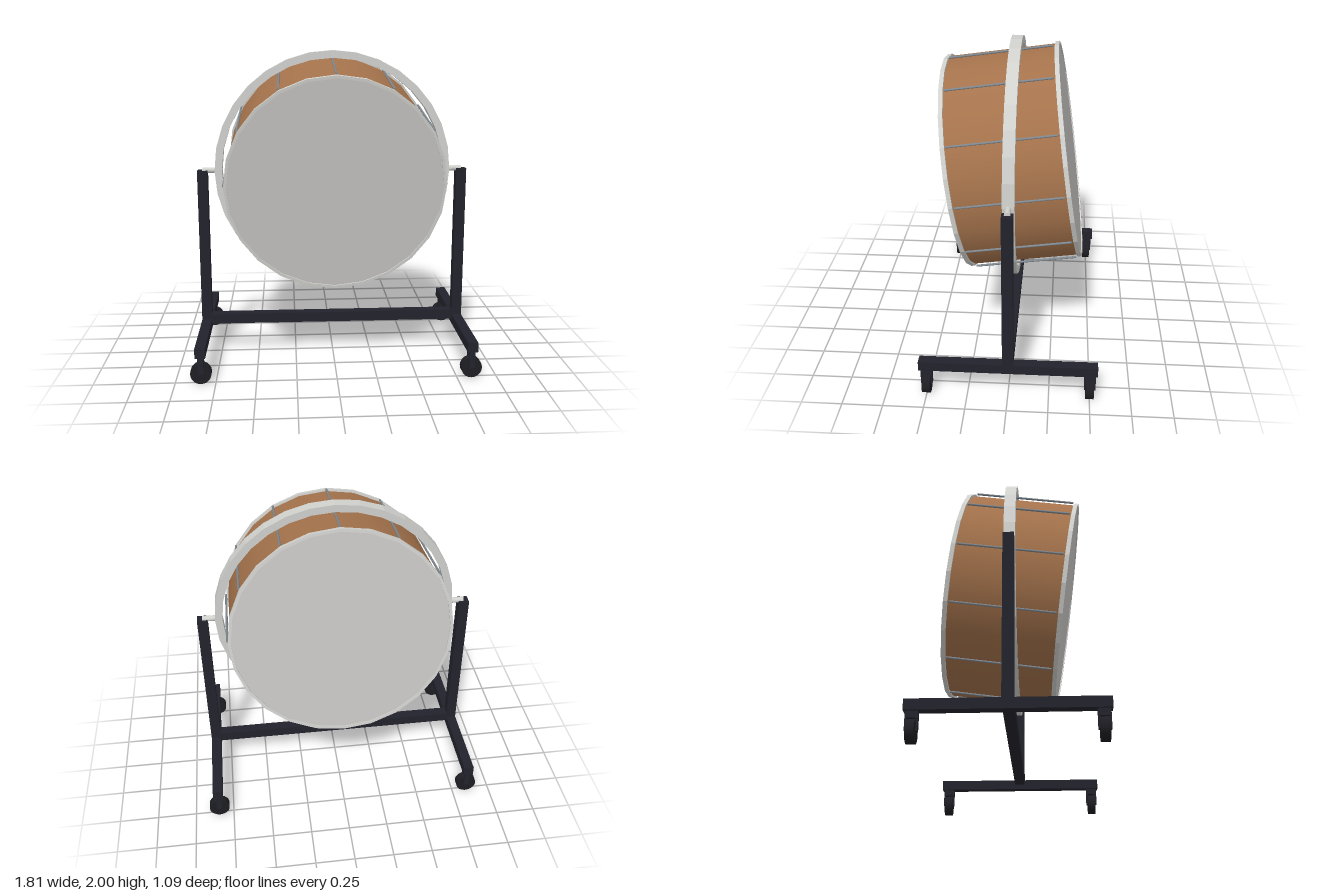
import * as THREE from 'three';

const paint = (name, color, flatShading = false) => {
  const material = new THREE.MeshStandardMaterial({ color, flatShading });
  material.name = name;
  return material;
};

export function createModel() {
  const model = new THREE.Group();
  const wood = paint('wood', 0xa5734c);
  const skin = paint('drum skin', 0xc8c6c4);
  const chrome = paint('chrome', 0xd0d0cd, true);
  const steel = paint('rod steel', 0x808990);
  const frame = paint('frame black', 0x22222c);
  const rubber = paint('wheel rubber', 0x1d1d23);

  const add = (parent, name, geometry, material, x = 0, y = 0, z = 0) => {
    const mesh = new THREE.Mesh(geometry, material);
    mesh.name = name;
    mesh.position.set(x, y, z);
    parent.add(mesh);
    return mesh;
  };
  const box = (parent, name, w, h, d, x, y, z) =>
    add(parent, name, new THREE.BoxGeometry(w, h, d), frame, x, y, z);

  // Flat band with a rectangular section, its axis along z
  const band = (outer, inner, depth, segments) => {
    const h = depth / 2;
    const section = [[inner, -h], [outer, -h], [outer, h], [inner, h], [inner, -h]];
    return new THREE.LatheGeometry(section.map(([r, y]) => new THREE.Vector2(r, y)), segments)
      .rotateX(Math.PI / 2);
  };

  const axleY = 1.24;
  const sides = 24;

  // Drum, tipped slightly forward; its axis runs along local z
  const drum = new THREE.Group();
  drum.name = 'drum';
  drum.position.y = axleY;
  drum.rotation.x = THREE.MathUtils.degToRad(8);
  model.add(drum);

  add(drum, 'shell',
    new THREE.CylinderGeometry(0.672, 0.672, 0.68, sides, 1, true).rotateX(Math.PI / 2), wood);
  for (const s of [1, -1]) {
    add(drum, 'rim', band(0.685, 0.667, 0.026, sides), chrome, 0, 0, s * 0.342);
    const head = add(drum, 'head',
      new THREE.CircleGeometry(0.672, sides, Math.PI / 2), skin, 0, 0, s * 0.347);
    if (s < 0) head.rotation.y = Math.PI;
  }

  // Tension rods around the shell
  const rodGeometry = new THREE.CylinderGeometry(0.007, 0.007, 0.64, 8).rotateX(Math.PI / 2);
  for (let i = 0; i < 12; i++) {
    const a = (i * Math.PI) / 6;
    add(drum, 'tensionRod', rodGeometry, steel, 0.687 * Math.sin(a), 0.687 * Math.cos(a), 0);
  }

  // Upright hoop that carries the drum
  add(model, 'hoop', band(0.76, 0.713, 0.07, 32), chrome, 0, axleY, 0);

  // Stand: a post, pivot, foot and two casters at each side
  box(model, 'crossbar', 1.68, 0.065, 0.065, 0, 0.237, 0);
  const pinGeometry = new THREE.CylinderGeometry(0.018, 0.018, 0.1, 16).rotateZ(Math.PI / 2);
  const wheelGeometry = new THREE.CylinderGeometry(0.065, 0.065, 0.05, 20).rotateX(Math.PI / 2);
  for (const s of [1, -1]) {
    const x = s * 0.84;
    box(model, 'post', 0.065, 1.04, 0.066, x, 0.72, 0);
    box(model, 'foot', 0.064, 0.062, 1.09, x, 0.205, 0);
    add(model, 'pivotPin', pinGeometry, chrome, s * 0.79, axleY, 0);
    for (const z of [0.5, -0.5]) {
      const caster = new THREE.Group();
      caster.name = 'caster';
      caster.position.set(x, 0, z);
      model.add(caster);
      add(caster, 'wheel', wheelGeometry, rubber, 0, 0.065, 0);
      box(caster, 'forkTop', 0.036, 0.04, 0.07, 0, 0.155, 0);
      for (const side of [1, -1]) {
        box(caster, 'forkPlate', 0.036, 0.11, 0.01, 0, 0.12, side * 0.03);
      }
    }
  }
  return model;
}
